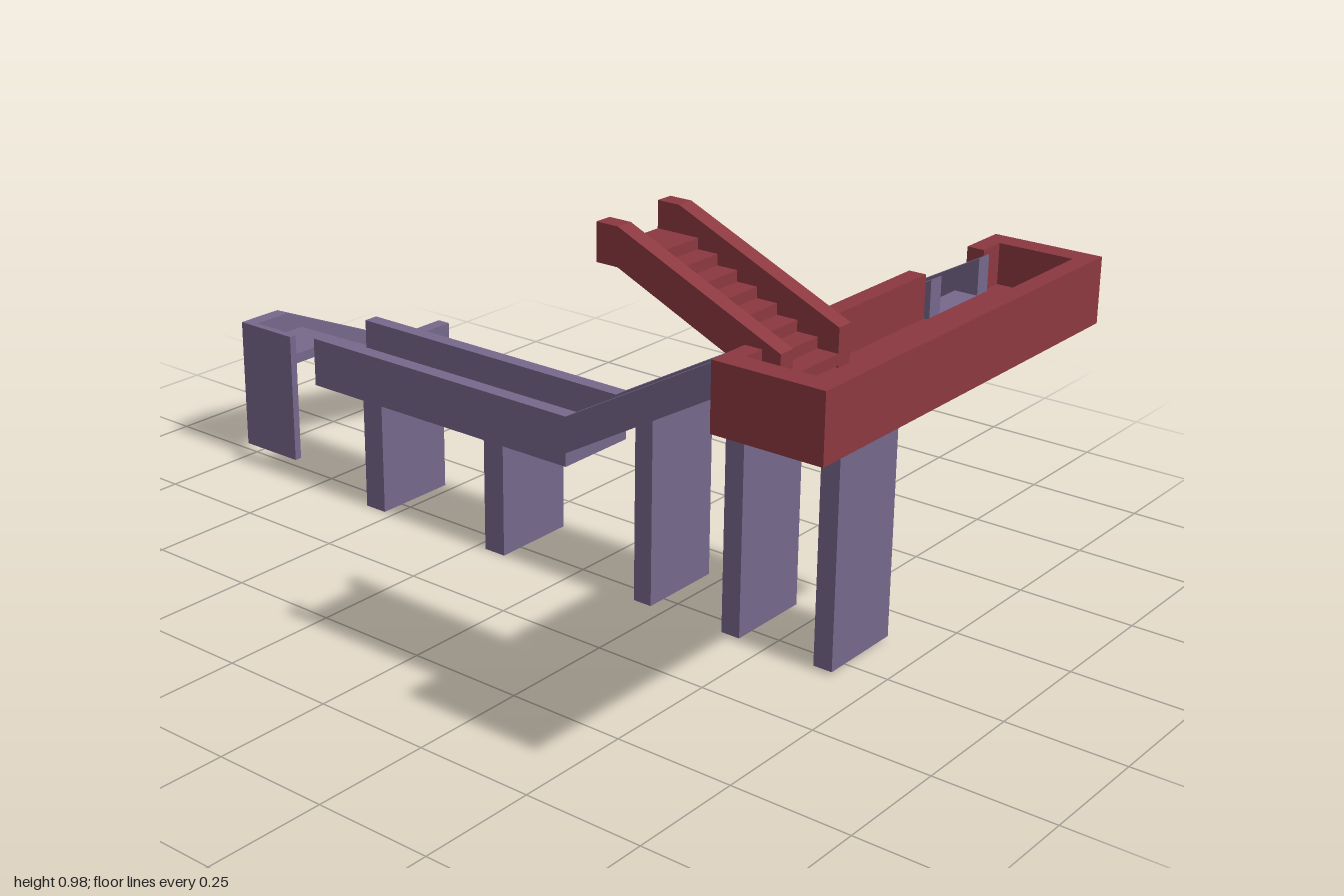
import * as THREE from 'three';

const purple = new THREE.MeshStandardMaterial({ color: 0x76688c, flatShading: true, side: THREE.DoubleSide });
const red = new THREE.MeshStandardMaterial({ color: 0x8c3840, flatShading: true, side: THREE.DoubleSide });

function add(group, name, geometry, material) {
  const mesh = new THREE.Mesh(geometry, material);
  mesh.name = name;
  group.add(mesh);
}

// Box given by its limits; a hollow one has no top or bottom
function box(x0, x1, y0, y1, z0, z1, hollow = false) {
  const g = new THREE.BoxGeometry(x1 - x0, y1 - y0, z1 - z0);
  g.translate((x0 + x1) / 2, (y0 + y1) / 2, (z0 + z1) / 2);
  if (hollow) {
    const i = Array.from(g.index.array);
    g.setIndex([...i.slice(0, 12), ...i.slice(24)]);
  }
  return g;
}

// Profile in (x, y) extruded from z = a to b
function prism(points, a, b) {
  const shape = new THREE.Shape(points.map(p => new THREE.Vector2(...p)));
  return new THREE.ExtrudeGeometry(shape, { depth: b - a, bevelEnabled: false }).translate(0, 0, a);
}

// Profile in (z, y) extruded from x = a to b
function prismX(points, a, b) {
  return prism(points, 0, b - a).rotateY(-Math.PI / 2).translate(b, 0, 0);
}

// Sawtooth stair profile over a straight underside, rising from (u0, v0) to (u1, v1)
function stairProfile(u0, v0, u1, v1, count) {
  const pts = [[u0, v0]];
  for (let i = 0; i < count; i++) {
    const u = u0 + (u1 - u0) * i / count;
    const v = v0 + (v1 - v0) * (i + 1) / count;
    pts.push([u, v], [u0 + (u1 - u0) * (i + 1) / count, v]);
  }
  return pts;
}

function makeWalkway() {
  const g = new THREE.Group();
  g.name = 'walkway';
  const z0 = -0.14, z1 = 0.055, t = 0.034;
  add(g, 'walkwayFloor', box(-0.73, 0, 0.25, 0.28, z0 + t, z1 - t), purple);
  add(g, 'mainStairs', prism(stairProfile(0, 0.28, 0.83, 0.755, 18), z0 + t, z1 - t), purple);

  // Parapets bend upward along the stairs
  const wall = [[-0.73, 0.25], [0, 0.25], [0, 0.28], [0.83, 0.755], [0.83, 0.825], [0, 0.36], [-0.73, 0.36]];
  add(g, 'backParapet', prism(wall, z0, z0 + t), purple);
  add(g, 'frontParapet', prism(wall, z1 - t, z1), purple);

  // Pillars: [left, right, bottom, top]; tall ones reach the sloping underside
  for (const [x0, x1, y0] of [[-0.58, -0.525, 0], [-0.225, -0.172, 0], [0.18, 0.223, 0.007], [0.4, 0.443, 0.007], [0.618, 0.66, 0.007]]) {
    const top = x0 < 0 ? 0.25 : 0.28 + x0 * 0.572;
    add(g, 'pillar', box(x0, x1, y0, top, z0, z1, true), purple);
    if (x0 > 0) {
      const wedge = [[x0, top], [x1, top], [x1, 0.28 + x1 * 0.572]];
      add(g, 'pillarTop', prism(wedge, z0, z1), purple);
    }
  }
  return g;
}

function makeSideStairs() {
  const g = new THREE.Group();
  g.name = 'sideStairs';
  const x0 = -1, x1 = -0.84, xi = -0.966;
  // Steps climb from the low landing to the high one
  add(g, 'sideSteps', prismX(stairProfile(-0.43, 0.115, -0.085, 0.285, 8), xi, x1), purple);
  add(g, 'lowFloor', prismX([[-0.628, 0.09], [-0.47, 0.09], [-0.43, 0.115], [-0.628, 0.115]], xi, x1), purple);
  add(g, 'highFloor', box(xi, x1, 0.262, 0.285, -0.09, 0.01), purple);
  add(g, 'sideParapet', prismX([[-0.628, 0.09], [-0.47, 0.09], [-0.085, 0.262], [0.01, 0.262],
    [0.01, 0.33], [-0.085, 0.33], [-0.47, 0.16], [-0.628, 0.16]], x0, xi), purple);
  add(g, 'lowLandingBase', box(x0, x1, 0.03, 0.09, -0.628, -0.47, true), purple);
  add(g, 'endPlate', box(x0, x1, 0.03, 0.33, 0.008, 0.025), purple);
  return g;
}

function makePlatform() {
  const g = new THREE.Group();
  g.name = 'platform';
  const x0 = 0.785, x1 = 1, z0 = -0.24, z1 = 0.628, t = 0.034, e = 0.045, low = 0.705, floor = 0.752, top = 0.83;
  add(g, 'platformFloor', box(x0, x1, low, floor, z0, z1), red);
  add(g, 'outerWall', box(x1 - t, x1, floor, top, z0, z1), red);
  add(g, 'backWall', box(x0, x1 - t, floor, top, z0, z0 + e), red);
  add(g, 'frontWall', box(x0, x1 - t, floor, top, z1 - e, z1), red);
  // Inner wall, open where the two flights arrive
  for (const [a, b, y] of [[z0 + e, -0.14, top], [0.055, 0.34, 0.833], [0.54, z1 - e, top]])
    add(g, 'innerWall', box(x0, x0 + t, floor, y, a, b), red);
  return g;
}

function makeUpperStairs() {
  const g = new THREE.Group();
  g.name = 'upperStairs';
  const z0 = 0.342, z1 = 0.54, t = 0.034;
  add(g, 'upperSteps', prism(stairProfile(0.855, 0.765, 0.525, 0.925, 8), z0 + t, z1 - t), red);
  add(g, 'upperFloor', prism([[0.48, 0.905], [0.525, 0.905], [0.566, 0.905], [0.525, 0.925], [0.48, 0.925]], z0 + t, z1 - t), red);
  const wall = [[0.48, 0.905], [0.525, 0.905], [0.855, 0.76], [0.855, 0.83], [0.525, 0.975], [0.48, 0.975]];
  add(g, 'backParapet', prism(wall, z0, z0 + t), red);
  add(g, 'frontParapet', prism(wall, z1 - t, z1), red);
  return g;
}

export function createModel() {
  const model = new THREE.Group();
  model.name = 'elevatedStairway';
  model.add(makeWalkway(), makeSideStairs(), makePlatform(), makeUpperStairs());
  return model;
}
